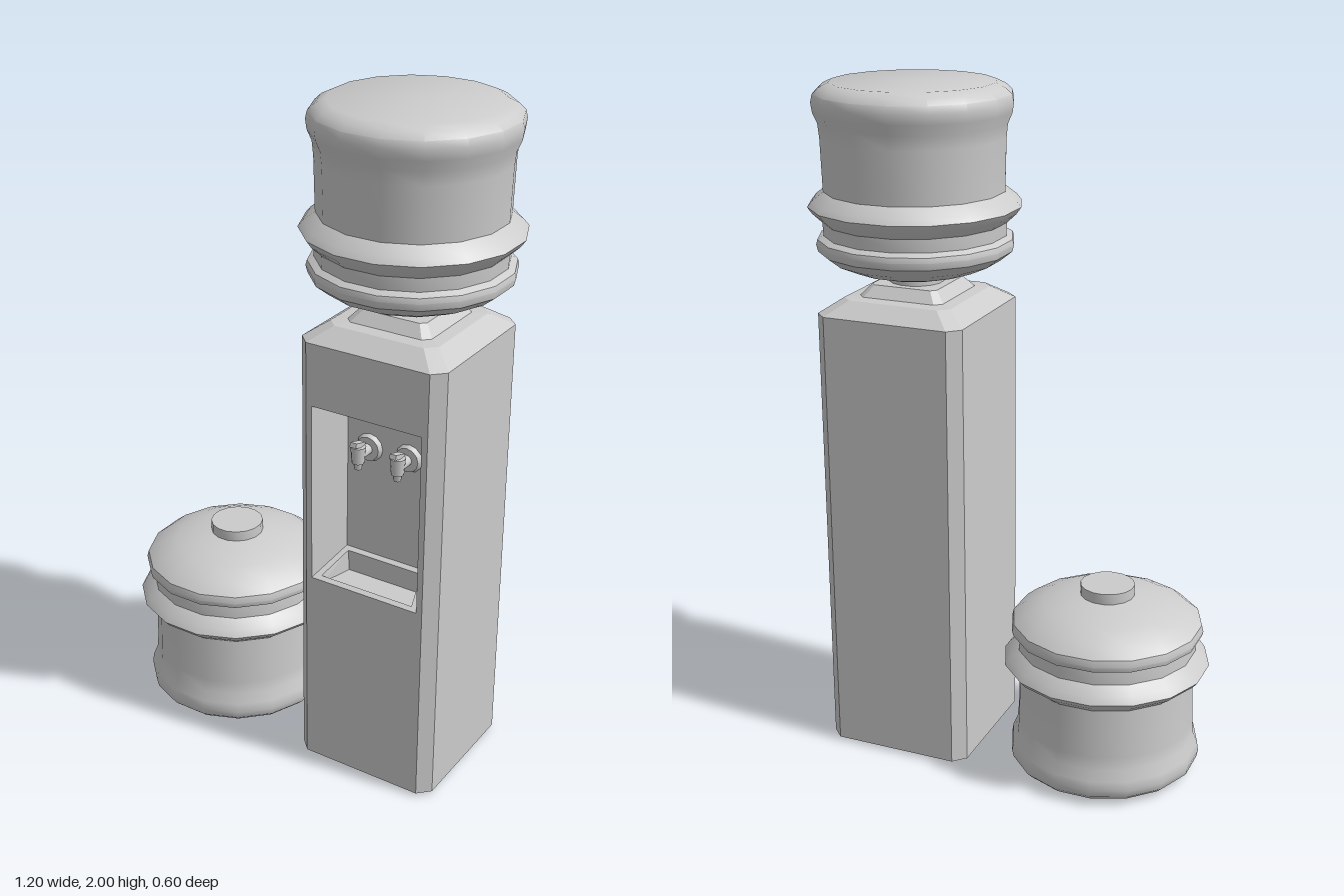
import * as THREE from 'three';
import { toCreasedNormals } from 'three/addons/utils/BufferGeometryUtils.js';

const mat = new THREE.MeshStandardMaterial({ color: 0xcccccc });
const matDouble = new THREE.MeshStandardMaterial({ color: 0xcccccc, side: THREE.DoubleSide });
const CX = 0.297, HALF = 0.225, CUT = 0.035, BASE = 0.01, SHOULDER = 1.36;

function add(parent, name, geometry, material = mat) {
  const mesh = new THREE.Mesh(geometry, material);
  mesh.name = name;
  parent.add(mesh);
  return mesh;
}

// Flat-shaded polygons, each fanned from its first corner
function polygons(polys) {
  const pos = [];
  for (const p of polys)
    for (let i = 1; i < p.length - 1; i++) pos.push(...p[0], ...p[i], ...p[i + 1]);
  const g = new THREE.BufferGeometry();
  g.setAttribute('position', new THREE.Float32BufferAttribute(pos, 3));
  g.computeVertexNormals();
  return g;
}

// Quads joining two closed loops; one side may be left open
function band(a, b, skip = -1) {
  const quads = [];
  a.forEach((p, i) => {
    const j = (i + 1) % a.length;
    if (i !== skip) quads.push([p, a[j], b[j], b[i]]);
  });
  return quads;
}

// Square cross-section with cut corners; side 0 faces the front
function section(y, half, cut) {
  const h = half, k = half - cut;
  return [[-k, h], [k, h], [h, k], [h, -k], [k, -h], [-k, -h], [-h, -k], [-h, k]]
    .map(([x, z]) => [x, y, z]);
}

function rectXY(x, y0, y1, z) {
  return [[-x, y0, z], [x, y0, z], [x, y1, z], [-x, y1, z]];
}

function bottleGeometry() {
  const profile = [
    [0, 0], [0.235, 0], [0.262, 0.013], [0.28, 0.03], [0.285, 0.052], [0.281, 0.08],
    [0.268, 0.11], [0.264, 0.15], [0.26, 0.3], [0.292, 0.325], [0.306, 0.342],
    [0.292, 0.362], [0.265, 0.387], [0.263, 0.425], [0.281, 0.435], [0.285, 0.45],
    [0.28, 0.47], [0.245, 0.498], [0.19, 0.523], [0.13, 0.54], [0.08, 0.548],
    [0.08, 0.58], [0, 0.58],
  ].map(([r, y]) => new THREE.Vector2(r, y));
  return toCreasedNormals(new THREE.LatheGeometry(profile, 16, Math.PI / 16), 0.6);
}

function createTap(name) {
  const tap = new THREE.Group();
  tap.name = name;
  const cyl = (part, rTop, rBottom, len, y, z, forward) => {
    const m = add(tap, part, new THREE.CylinderGeometry(rTop, rBottom, len, 12));
    m.position.set(0, y, z);
    if (forward) m.rotation.x = Math.PI / 2;
  };
  cyl('tapFlange', 0.036, 0.042, 0.014, 0, 0.007, true);
  cyl('tapStem', 0.016, 0.016, 0.05, 0, 0.035, true);
  cyl('tapBody', 0.022, 0.018, 0.05, 0.004, 0.062, false);
  cyl('tapSpout', 0.014, 0.01, 0.022, -0.03, 0.062, false);
  const lever = add(tap, 'tapLever', new THREE.BoxGeometry(0.02, 0.014, 0.05));
  lever.position.set(0, 0.036, 0.066);
  lever.rotation.x = -0.3;
  return tap;
}

export function createModel() {
  const model = new THREE.Group();
  model.name = 'waterCooler';
  const dispenser = new THREE.Group();
  dispenser.name = 'dispenser';
  dispenser.position.x = CX;
  model.add(dispenser);

  // Cabinet walls and underside, with the front left for the panel
  const bottom = section(BASE, HALF, CUT), top = section(SHOULDER, HALF, CUT);
  add(dispenser, 'cabinet', polygons([...band(bottom, top, 0), [...bottom].reverse()]), matDouble);

  // Stepped, sloping top
  const levels = [top, section(1.40, 0.167, 0.03), section(1.403, 0.13, 0.02),
    section(1.435, 0.102, 0.015)];
  const lid = [levels[3]];
  for (let i = 0; i < 3; i++) lid.push(...band(levels[i], levels[i + 1]));
  add(dispenser, 'cabinetTop', polygons(lid), matDouble);

  // Front panel with the niche opening
  const NX = 0.172, NY0 = 0.63, NY1 = 1.175, k = HALF - CUT;
  const path = (pts, P) => new P(pts.map(([x, y]) => new THREE.Vector2(x, y)));
  const panel = path(rectXY(k, BASE, SHOULDER, 0), THREE.Shape);
  panel.holes.push(path(rectXY(NX, NY0, NY1, 0).reverse(), THREE.Path));
  add(dispenser, 'frontPanel', new THREE.ShapeGeometry(panel).translate(0, 0, HALF));

  // Tapered niche with a back wall
  const backZ = 0.095;
  const mouth = rectXY(NX, NY0, NY1, HALF), back = rectXY(0.135, 0.685, 1.115, backZ);
  add(dispenser, 'niche', polygons([...band(mouth, back, 0), back]), matDouble);

  // Sloping niche floor with a sunken drip tray
  const floor = [mouth[0], mouth[1], back[1], back[0]];
  const slopeY = (z) => NY0 + (HALF - z) / (HALF - backZ) * (0.685 - NY0);
  const rim = [[-0.148, 0.21], [0.148, 0.21], [0.121, 0.11], [-0.121, 0.11]]
    .map(([x, z]) => [x, slopeY(z), z]);
  const basin = rim.map(([x, , z]) => [x * 0.97, 0.615, z]);
  add(dispenser, 'dripTray', polygons([...band(floor, rim), ...band(rim, basin), basin]), matDouble);

  // Pair of taps
  for (const [name, x] of [['rightTap', -0.063], ['leftTap', 0.063]]) {
    const tap = createTap(name);
    tap.position.set(x, 1.025, backZ);
    dispenser.add(tap);
  }

  // Upturned bottle on the dispenser and a spare one on the ground
  const bottle = bottleGeometry();
  const upper = add(model, 'mountedBottle', bottle);
  upper.position.set(0.3, 2, 0);
  upper.rotation.x = Math.PI;
  add(model, 'spareBottle', bottle).position.set(-0.3, 0, 0);
  return model;
}
